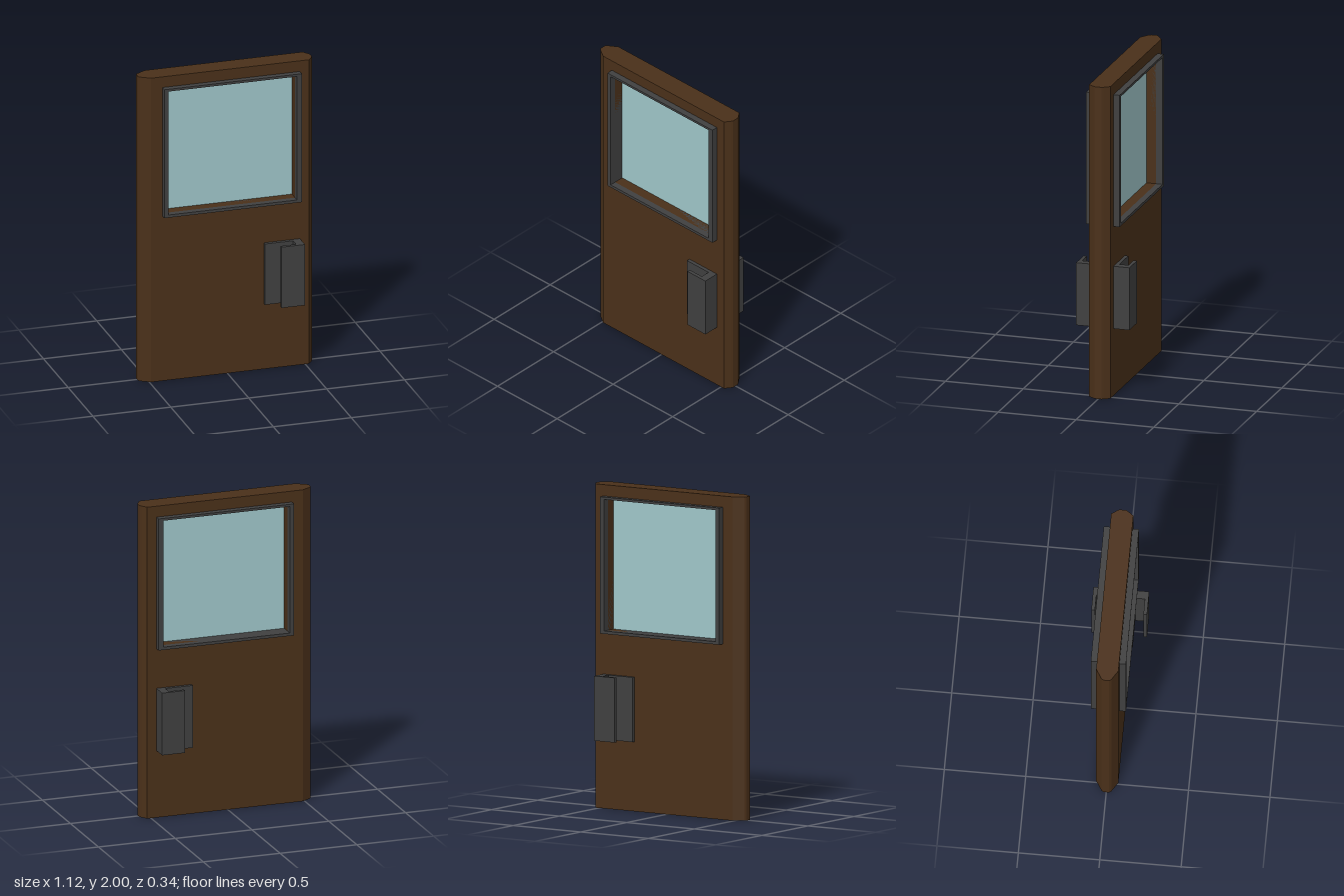
import * as THREE from 'three';

const paint = (color) => new THREE.MeshStandardMaterial({ color, flatShading: true });

// Shape from a list of [x, y] corners
const polygon = (points) => new THREE.Shape(points.map(([x, y]) => new THREE.Vector2(x, y)));

const rect = (x0, x1, y0, y1) => [[x0, y0], [x1, y0], [x1, y1], [x0, y1]];

// Extrudes a plan profile given as [x, z] upwards from y0 to y1
function extrudeUp(profile, y0, y1) {
  const shape = polygon(profile.map(([x, z]) => [x, -z]));
  const geometry = new THREE.ExtrudeGeometry(shape, { depth: y1 - y0, bevelEnabled: false });
  return geometry.rotateX(-Math.PI / 2).translate(0, y0, 0);
}

// Rectangular panel with a rectangular opening, centred on z = 0
function panelWithOpening(outer, opening, depth) {
  const shape = polygon(rect(...outer));
  shape.holes.push(polygon(rect(...opening)));
  return new THREE.ExtrudeGeometry(shape, { depth, bevelEnabled: false }).translate(0, 0, -depth / 2);
}

// Closes a half profile by mirroring it across z = 0
const mirrored = (half) => [...half, ...half.map(([x, z]) => [x, -z]).reverse()];

export function createModel() {
  const group = new THREE.Group();
  const wood = paint(0x4a3019);
  const metal = paint(0x404040);
  const add = (name, geometry, material) => {
    const mesh = new THREE.Mesh(geometry, material);
    mesh.name = name;
    group.add(mesh);
  };

  const halfDepth = 0.068;
  const frameOuter = [-0.417, 0.465, 1.085, 1.93];
  const frameInner = [-0.39, 0.434, 1.103, 1.915];

  // Door slab with window opening and bevelled vertical edges
  add('doorPanel', panelWithOpening([-0.49, 0.525, 0, 2], frameInner, halfDepth * 2), wood);
  add('rightEdge', extrudeUp(mirrored([[-0.49, halfDepth], [-0.55, 0.03], [-0.558, 0.018]]), 0, 2), wood);
  add('leftEdge', extrudeUp(mirrored([[0.525, halfDepth], [0.55, 0.033], [0.557, 0.02]]), 0, 2), wood);

  // Window frame standing proud on both faces, with the pane in the middle
  add('windowFrame', panelWithOpening(frameOuter, frameInner, 0.216), metal);
  const [x0, x1, y0, y1] = frameInner;
  const pane = new THREE.BoxGeometry(x1 - x0, y1 - y0, 0.01);
  add('windowPane', pane.translate((x0 + x1) / 2, (y0 + y1) / 2, 0), paint(0x9fc6c9));

  // Hooked pull handle on each face: back plate, web and grip in one profile
  for (const [name, side] of [['frontHandle', 1], ['backHandle', -1]]) {
    const profile = [
      [0.235, 0.06], [0.465, 0.06], [0.465, 0.171], [0.315, 0.171],
      [0.315, 0.149], [0.415, 0.149], [0.415, 0.09], [0.235, 0.09],
    ].map(([x, z]) => [x, z * side]);
    add(name, extrudeUp(profile, 0.43, 0.83), metal);
  }
  return group;
}
